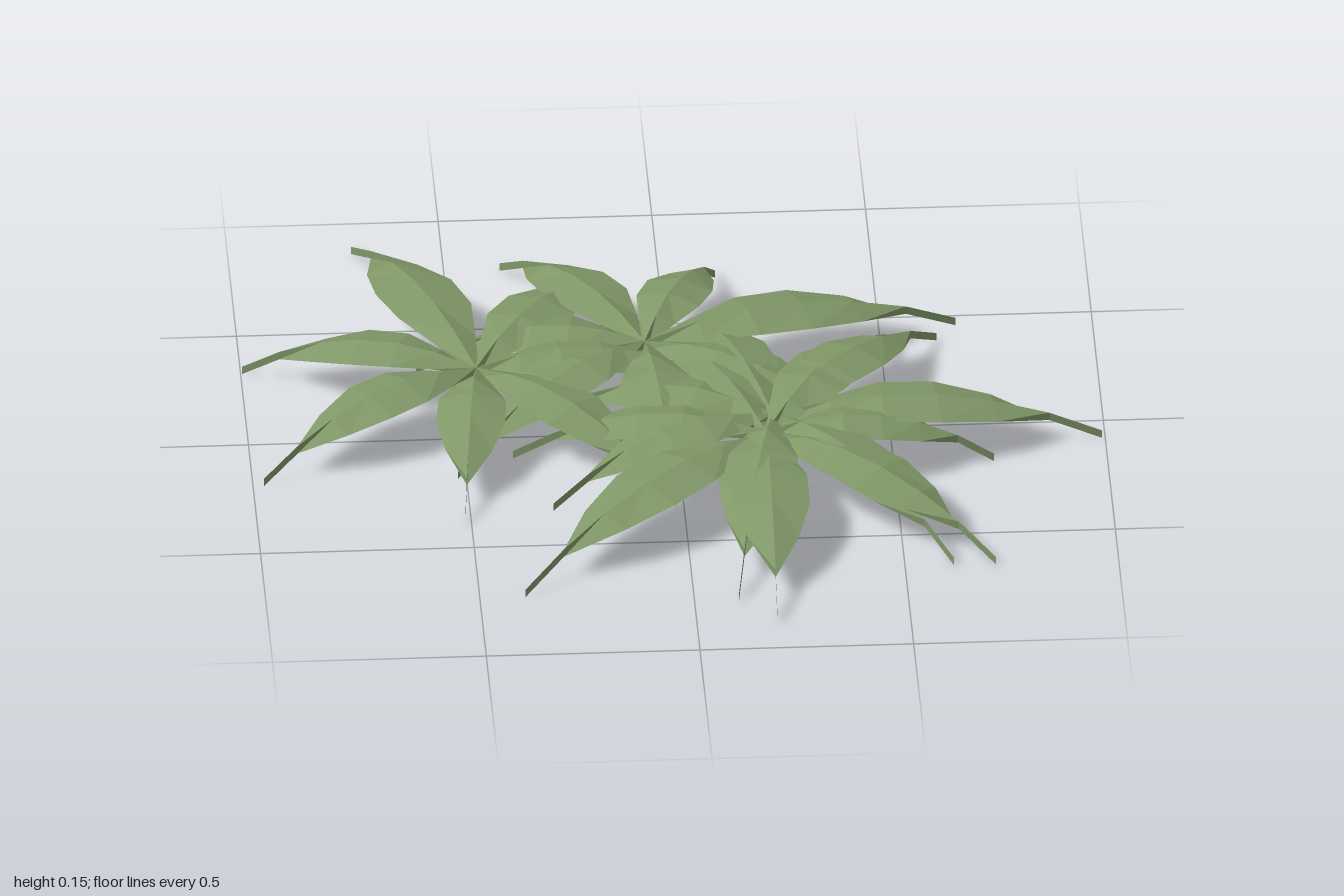
import * as THREE from 'three';

const leafGreen = new THREE.MeshStandardMaterial({ color: 0x809868, side: THREE.DoubleSide });
leafGreen.name = 'leafGreen';

// Leaf cross-sections from base to tip: [fraction of length, half width, midrib height]
const SECTIONS = [
  [0.0, 0.008, 0.115],
  [0.17, 0.052, 0.14],
  [0.33, 0.092, 0.15],
  [0.5, 0.095, 0.142],
  [0.67, 0.064, 0.117],
  [0.84, 0, 0.076],
  [1.0, 0, 0.02],
];
const FOLD = 0.02; // leaf edges hang this far below the midrib

// Plants: centre, then leaves as [angle in degrees from +x toward +z, length of the broad part]
const PLANTS = [
  { x: -0.46, z: -0.13, leaves: [[-109, 0.65], [-160, 0.48], [148, 0.51], [96, 0.44], [46, 0.52], [-6, 0.5], [-58, 0.53]] },
  { x: -0.06, z: -0.23, leaves: [[-17, 0.65], [-68, 0.43], [-120, 0.52], [-172, 0.45], [138, 0.52], [86, 0.5], [34, 0.53]] },
  { x: 0.22, z: 0.12, leaves: [[-3, 0.65], [-51, 0.55], [-106, 0.52], [-158, 0.47], [157, 0.48], [100, 0.56], [53, 0.55]] },
  { x: 0.2, z: 0.2, leaves: [[138, 0.67], [91, 0.57], [41, 0.57], [-3, 0.45], [-60, 0.57], [-112, 0.5], [-170, 0.5]] },
];

// One arched leaf along +x, folded along its midrib, ending in a thin upright tip
function leafGeometry(length) {
  const width = 0.55 + 0.45 * (length / 0.78);
  const positions = [];
  const index = [];
  SECTIONS.forEach(([t, half, y], i) => {
    const x = t * length;
    const w = half * width;
    positions.push(x, y - FOLD, -w, x, y, 0, x, y - FOLD, w);
    if (i === 0) return;
    const b = i * 3;
    const a = b - 3;
    for (let s = 0; s < 2; s++) {
      index.push(a + s, a + s + 1, b + s, a + s + 1, b + s + 1, b + s);
    }
  });
  const indexed = new THREE.BufferGeometry();
  indexed.setAttribute('position', new THREE.Float32BufferAttribute(positions, 3));
  indexed.setIndex(index);
  const faceted = indexed.toNonIndexed();
  faceted.computeVertexNormals();
  return faceted;
}

export function createModel() {
  const model = new THREE.Group();
  model.name = 'groundcoverPlants';
  PLANTS.forEach(({ x, z, leaves }, p) => {
    const plant = new THREE.Group();
    plant.name = `plant${p + 1}`;
    plant.position.set(x, 0, z);
    leaves.forEach(([angle, broad], i) => {
      const leaf = new THREE.Mesh(leafGeometry(broad / 0.84), leafGreen);
      leaf.name = `leaf${i + 1}`;
      leaf.rotation.y = -THREE.MathUtils.degToRad(angle);
      plant.add(leaf);
    });
    model.add(plant);
  });
  return model;
}
